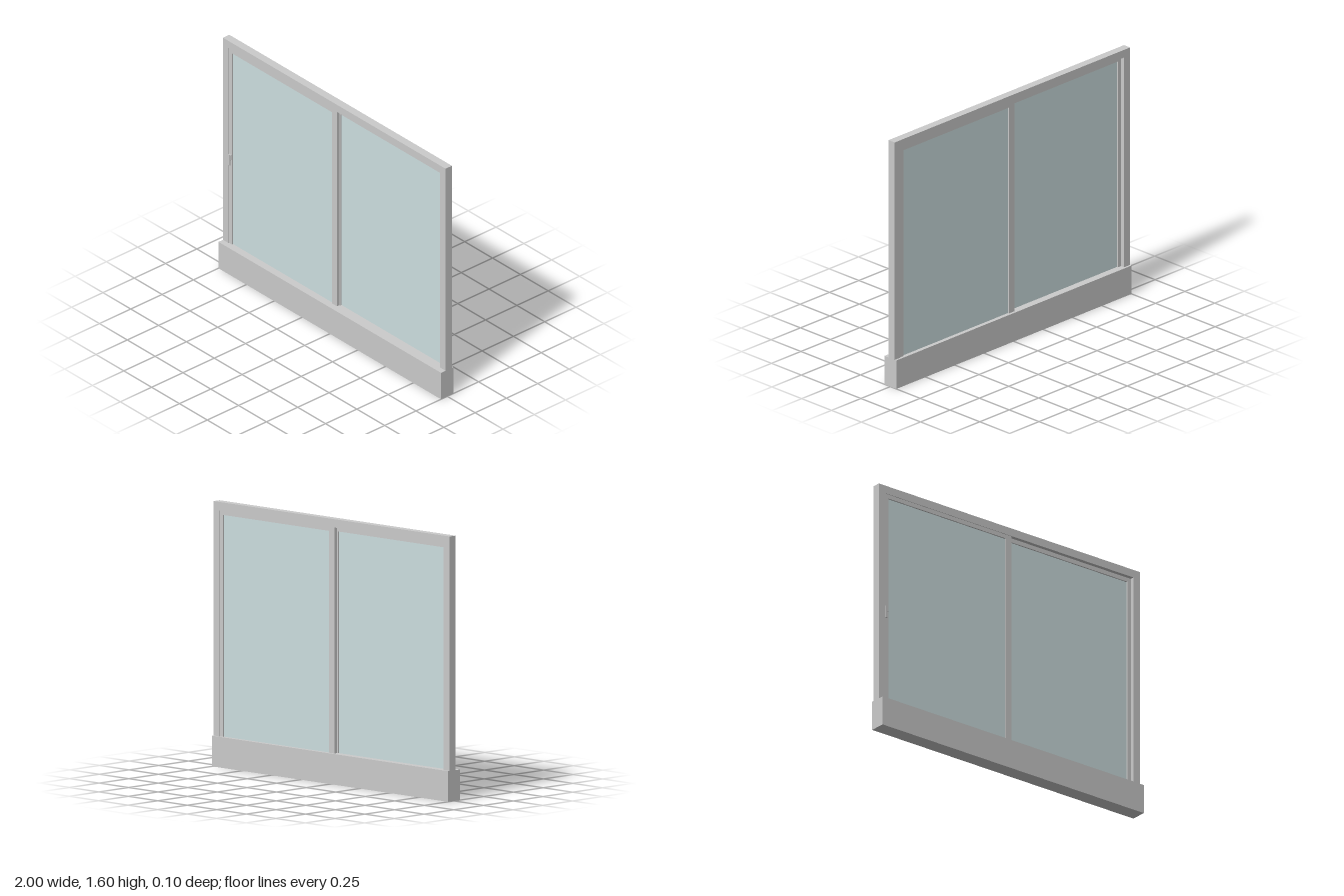
import * as THREE from 'three';

const grey = new THREE.MeshStandardMaterial({ color: 0xcccccc });
const glass = new THREE.MeshStandardMaterial({ color: 0xcddfe0 });

// Box given by its limits on each axis
function block(name, [x0, x1], [y0, y1], [z0, z1], material = grey) {
  const mesh = new THREE.Mesh(new THREE.BoxGeometry(x1 - x0, y1 - y0, z1 - z0), material);
  mesh.position.set((x0 + x1) / 2, (y0 + y1) / 2, (z0 + z1) / 2);
  mesh.name = name;
  return mesh;
}

// Upside-down U: two uprights joined by a top rail, extruded in z
function arch(name, [x0, x1], [y0, y1], [z0, z1], left, right, top) {
  const points = [
    [x0, y0], [x0 + left, y0], [x0 + left, y1 - top], [x1 - right, y1 - top],
    [x1 - right, y0], [x1, y0], [x1, y1], [x0, y1],
  ].map(([x, y]) => new THREE.Vector2(x, y));
  const geometry = new THREE.ExtrudeGeometry(new THREE.Shape(points), { depth: z1 - z0, bevelEnabled: false });
  geometry.translate(0, 0, z0);
  const mesh = new THREE.Mesh(geometry, grey);
  mesh.name = name;
  return mesh;
}

// Sliding panel: stiles, top rail and a pane at mid depth
function sash(name, x, z, left, right) {
  const group = new THREE.Group();
  group.name = name;
  const y = [SILL, 1.55], mid = (z[0] + z[1]) / 2;
  group.add(
    arch('sashFrame', x, y, z, left, right, 0.026),
    block('pane', [x[0] + left, x[1] - right], [SILL, 1.524], [mid - 0.002, mid + 0.002], glass),
  );
  return group;
}

const SILL = 0.185;

export function createModel() {
  const model = new THREE.Group();
  model.name = 'slidingWindow';

  // Deep sill and outer frame
  model.add(block('sill', [-1, 1], [0, SILL], [-0.05, 0.05]));
  model.add(arch('outerFrame', [-1, 1], [SILL, 1.6], [-0.037, 0.014], 0.05, 0.05, 0.05));

  // Two panels on separate tracks, meeting stiles overlapping at the centre
  model.add(sash('frontSash', [-0.95, 0.02], [-0.011, 0.01], 0.027, 0.046));
  model.add(sash('backSash', [-0.02, 0.95], [-0.033, -0.012], 0.046, 0.027));

  // Small latch on the outer stile of the front panel
  const latch = new THREE.Group();
  latch.name = 'latch';
  latch.add(
    block('latchPlate', [-0.948, -0.936], [0.735, 0.81], [0.009, 0.018]),
    block('latchLever', [-0.936, -0.928], [0.775, 0.81], [0.009, 0.016]),
  );
  model.add(latch);
  return model;
}
